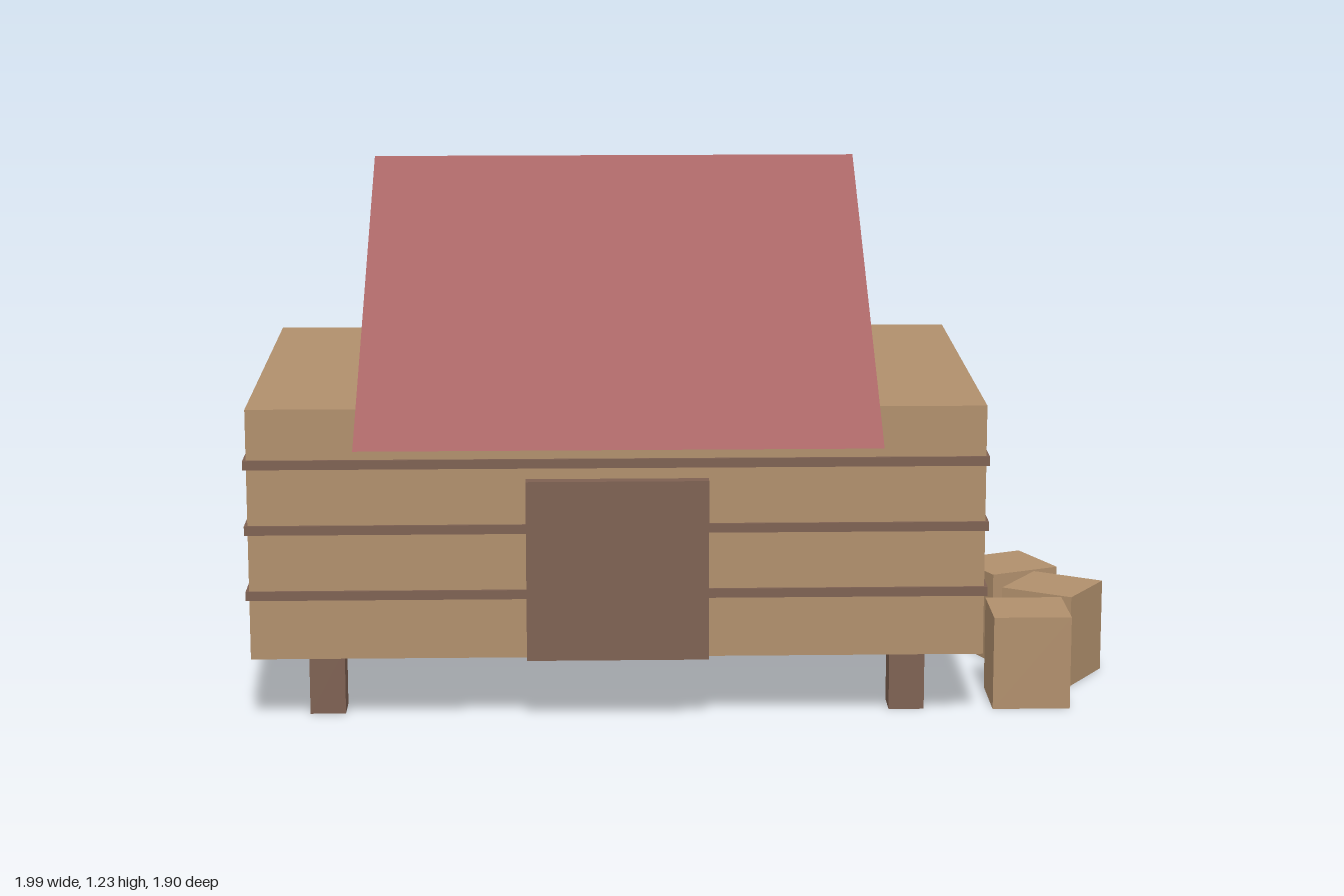
import * as THREE from 'three';

export function createModel() {
  const wood = new THREE.MeshStandardMaterial({ name: 'wood', color: 0xb08f6c });
  const trim = new THREE.MeshStandardMaterial({ name: 'darkWood', color: 0x7e6152 });
  const roofRed = new THREE.MeshStandardMaterial({ name: 'roofRed', color: 0xa86565 });
  const model = new THREE.Group();
  model.name = 'stiltHut';

  const add = (name, geometry, material, x, y, z) => {
    const mesh = new THREE.Mesh(geometry, material);
    mesh.name = name;
    mesh.position.set(x, y, z);
    model.add(mesh);
    return mesh;
  };
  const box = (name, material, [w, h, d], x, y, z) =>
    add(name, new THREE.BoxGeometry(w, h, d), material, x, y, z);

  const cx = -0.163; // centre of the hut; the crates stand beside it

  // Walls, with thin bands running all the way round
  box('walls', wood, [1.655, 0.575, 1.0], cx, 0.4425, 0);
  for (const y of [0.303, 0.454, 0.604])
    box('wallBand', trim, [1.67, 0.021, 1.012], cx, y, 0);

  // Door
  box('door', trim, [0.41, 0.413, 0.03], cx, 0.3615, 0.515);

  // Stilts
  for (const x of [-0.663, 0.663])
    for (const z of [-0.373, 0.373])
      box('stilt', trim, [0.081, 0.155, 0.081], cx + x, 0.0775, z);

  // Solid gable roof, ridge along x
  const gable = new THREE.Shape([
    new THREE.Vector2(-0.952, 0),
    new THREE.Vector2(0.952, 0),
    new THREE.Vector2(0, 0.495),
  ]);
  const roofLength = 1.117;
  const roofGeometry = new THREE.ExtrudeGeometry(gable, { depth: roofLength, bevelEnabled: false });
  roofGeometry.translate(0, 0, -roofLength / 2).rotateY(Math.PI / 2);
  add('roof', roofGeometry, roofRed, cx, 0.734, 0);

  // Loose crates: x, z, turn
  for (const [x, z, turn] of [[0.787, -0.086, 0.42], [0.872, 0.122, -0.56], [0.788, 0.331, 0]])
    box('crate', wood, [0.178, 0.217, 0.178], x, 0.1085, z).rotation.y = turn;

  return model;
}
